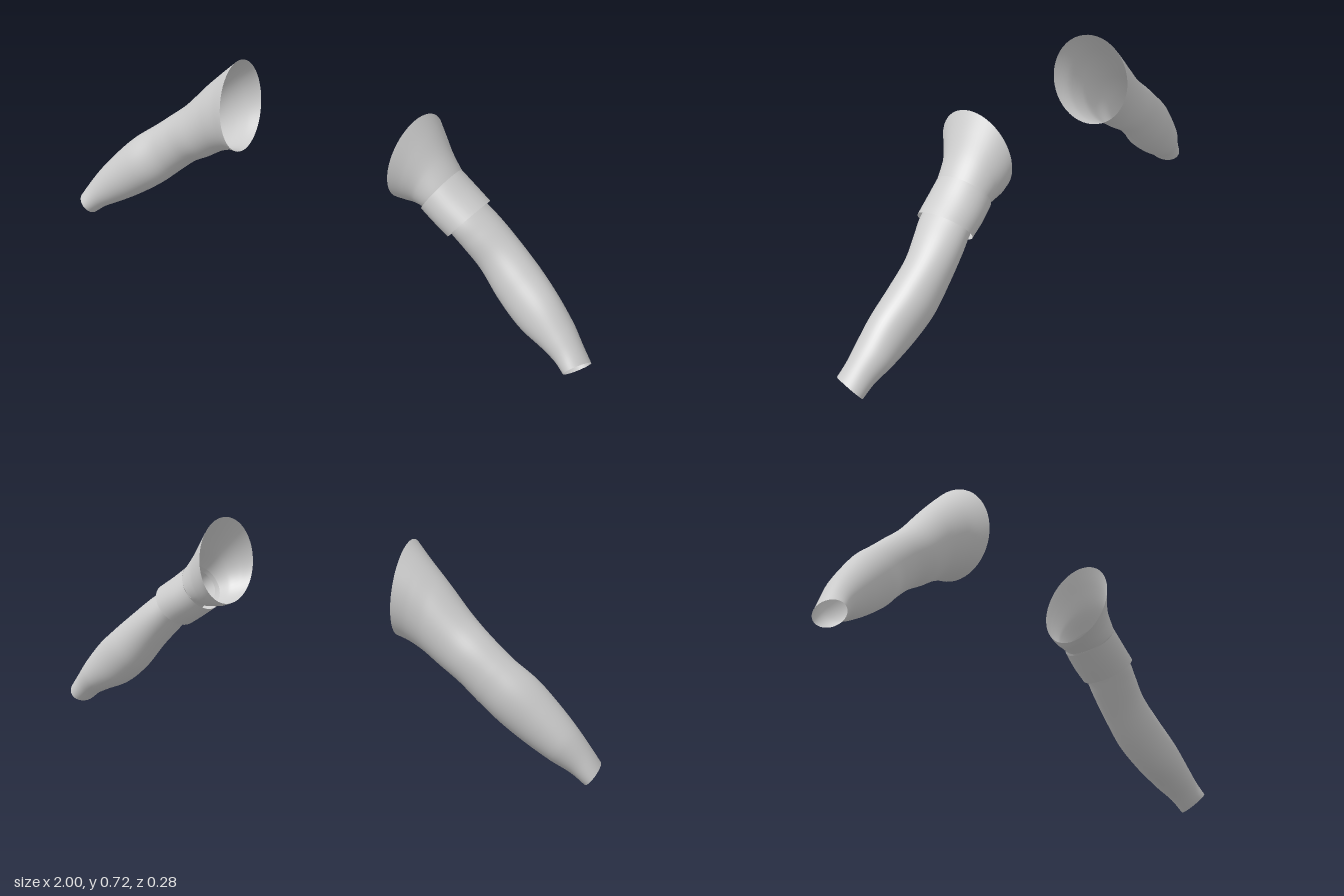
import * as THREE from 'three';

const fabric = new THREE.MeshStandardMaterial({ color: 0xcccccc, side: THREE.DoubleSide });
fabric.name = 'plainGrey';

// Open tube lofted through rings: [topX, topY, bottomX, bottomY, backZ, frontZ, slant]
// x is measured outward from the body; side is +1 (left) or -1 (right)
function loft(name, rings, side, steps, around = 48) {
  const curve = pick => new THREE.CatmullRomCurve3(rings.map(r => new THREE.Vector3(...pick(r))));
  const tops = curve(r => [r[0], r[1], 0]);
  const bottoms = curve(r => [r[2], r[3], 0]);
  const depths = curve(r => [r[4], r[5], r[6]]);
  const positions = [], index = [];
  for (let i = 0; i <= steps; i++) {
    const t = i / steps;
    const top = tops.getPoint(t), bottom = bottoms.getPoint(t), depth = depths.getPoint(t);
    const mid = top.clone().add(bottom).multiplyScalar(0.5);
    const up = top.clone().sub(mid);
    const along = new THREE.Vector3(up.y, -up.x, 0).normalize();
    const zMid = (depth.x + depth.y) / 2, zHalf = (depth.y - depth.x) / 2;
    for (let j = 0; j < around; j++) {
      const a = (j / around) * Math.PI * 2, c = Math.cos(a), s = Math.sin(a);
      const p = mid.clone().addScaledVector(up, c).addScaledVector(along, -depth.z * s);
      positions.push(side * p.x, p.y, zMid + zHalf * s);
      if (i < steps) {
        const k = (j + 1) % around;
        const p0 = i * around + j, p1 = i * around + k;
        const q0 = p0 + around, q1 = p1 + around;
        if (side > 0) index.push(p0, p1, q0, p1, q1, q0);
        else index.push(p0, q0, p1, p1, q0, q1);
      }
    }
  }
  const geometry = new THREE.BufferGeometry();
  geometry.setAttribute('position', new THREE.Float32BufferAttribute(positions, 3));
  geometry.setIndex(index);
  geometry.computeVertexNormals();
  const mesh = new THREE.Mesh(geometry, fabric);
  mesh.name = name;
  return mesh;
}

export function createModel() {
  const model = new THREE.Group();
  model.name = 'sleeves';

  // Right: one long sleeve from shoulder opening to wrist
  model.add(loft('rightSleeve', [
    [0.355, 0.722, 0.325, 0.41, -0.14, 0.13, 0.014],
    [0.415, 0.665, 0.365, 0.40, -0.125, 0.10, 0.01],
    [0.475, 0.605, 0.42, 0.375, -0.114, 0.08, 0],
    [0.57, 0.503, 0.48, 0.335, -0.107, 0.07, 0],
    [0.65, 0.435, 0.545, 0.295, -0.104, 0.056, 0],
    [0.71, 0.385, 0.61, 0.24, -0.098, 0.056, 0],
    [0.79, 0.322, 0.68, 0.178, -0.088, 0.078, 0],
    [0.86, 0.25, 0.765, 0.117, -0.068, 0.084, 0],
    [0.925, 0.173, 0.845, 0.068, -0.045, 0.086, 0.005],
    [0.968, 0.11, 0.905, 0.035, -0.018, 0.09, 0.012],
    [0.997, 0.063, 0.945, 0.004, -0.005, 0.1, 0.018],
  ], -1, 60));

  // Left: flared shoulder cap
  model.add(loft('leftShoulderCap', [
    [0.355, 0.722, 0.318, 0.435, -0.14, 0.138, 0.016],
    [0.39, 0.668, 0.338, 0.427, -0.13, 0.112, 0.01],
    [0.43, 0.607, 0.362, 0.424, -0.116, 0.09, 0.004],
    [0.475, 0.547, 0.388, 0.422, -0.106, 0.082, 0],
  ], 1, 24));

  // Left: short cuff below the cap
  model.add(loft('leftCuff', [
    [0.475, 0.549, 0.383, 0.412, -0.108, 0.084, 0],
    [0.525, 0.51, 0.43, 0.379, -0.11, 0.086, 0],
    [0.584, 0.469, 0.482, 0.345, -0.106, 0.086, 0],
  ], 1, 12));

  // Left: arm tube from inside the cuff to the wrist
  model.add(loft('leftArm', [
    [0.475, 0.53, 0.405, 0.43, -0.095, 0.072, 0],
    [0.572, 0.458, 0.492, 0.36, -0.097, 0.076, 0],
    [0.625, 0.418, 0.535, 0.315, -0.1, 0.068, 0],
    [0.69, 0.365, 0.59, 0.255, -0.098, 0.058, 0],
    [0.775, 0.297, 0.67, 0.165, -0.09, 0.07, 0],
    [0.855, 0.23, 0.755, 0.1, -0.068, 0.082, 0],
    [0.92, 0.158, 0.845, 0.06, -0.045, 0.086, 0.005],
    [0.965, 0.103, 0.9, 0.033, -0.018, 0.09, 0.012],
    [0.997, 0.063, 0.94, 0.004, -0.004, 0.1, 0.018],
  ], 1, 54));

  return model;
}
